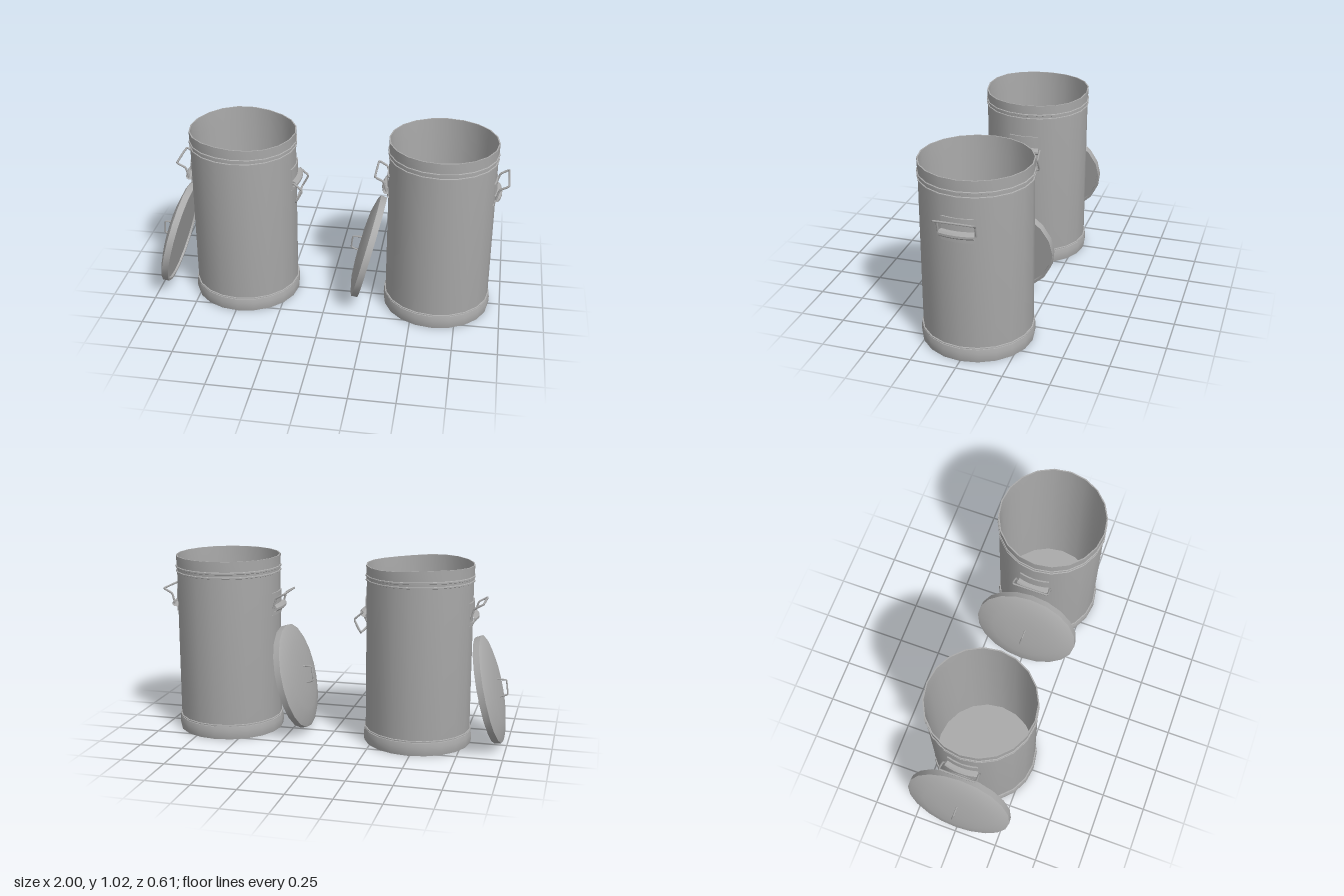
import * as THREE from 'three';
import { toCreasedNormals } from 'three/addons/utils/BufferGeometryUtils.js';

const SIDES = 20;
const metal = new THREE.MeshStandardMaterial({ color: 0xaaaaaa, side: THREE.DoubleSide });
metal.name = 'galvanised grey';

function mesh(name, geometry) {
  const m = new THREE.Mesh(geometry, metal);
  m.name = name;
  return m;
}

// Turned sheet metal, smooth around and sharp at the folds
function turned(name, profile, sides = SIDES, start = 0, sweep = Math.PI * 2, rule = null) {
  const points = profile.map(([r, y]) => new THREE.Vector2(r, y));
  const g = new THREE.LatheGeometry(points, sides, start, sweep);
  if (rule) {
    const p = g.attributes.position, v = new THREE.Vector3();
    for (let i = 0; i < p.count; i++) {
      rule(v.fromBufferAttribute(p, i));
      p.setXYZ(i, v.x, v.y, v.z);
    }
  }
  return mesh(name, toCreasedNormals(g, 0.6));
}

// Bent wire through a few points
function wire(name, points, radius) {
  const curve = new THREE.CatmullRomCurve3(
    points.map((p) => new THREE.Vector3(...p)), false, 'catmullrom', 0.1);
  return mesh(name, new THREE.TubeGeometry(curve, 40, radius, 6));
}

// Carrying handle on the +x side: curved bracket with a rolled hinge, and a kinked wire bail
function createHandle(name, bail) {
  const group = new THREE.Group();
  group.name = name;
  const half = 0.29;
  group.add(turned('handleBracket', [
    [0.295, 0.69], [0.303, 0.69], [0.303, 0.715], [0.322, 0.718], [0.331, 0.727],
    [0.331, 0.739], [0.322, 0.749], [0.303, 0.752], [0.303, 0.82], [0.295, 0.82],
  ], 6, Math.PI / 2 - half, half * 2));
  const arm = (z) => bail.map(([x, y]) => [x, y, z]);
  group.add(wire('handleBail', [...arm(0.1), ...arm(-0.1).reverse()], 0.006));
  return group;
}

// Lid: shallow dome with a turned-down rim and a wire grip
function createLid() {
  const lid = new THREE.Group();
  lid.name = 'lid';
  lid.add(turned('lidDome', [
    [0, 0.012], [0.286, 0.012], [0.288, 0], [0.302, 0], [0.305, 0.036],
    [0.285, 0.046], [0.2, 0.066], [0.1, 0.073], [0, 0.075],
  ]));
  lid.add(wire('lidGrip', [
    [-0.05, 0.068, -0.008], [-0.043, 0.115, -0.008], [0.035, 0.123, 0.004], [0.05, 0.068, 0.004],
  ], 0.005));
  return lid;
}

function createCan(name, dented, bails) {
  const can = new THREE.Group();
  can.name = name;

  // Used can has a slightly sagging rim
  const sag = dented ? (v) => {
    if (v.y > 0.9) v.y -= 0.008 * (1 + Math.sin(v.x * 9 - 0.4)) * (v.y - 0.9) / 0.12;
  } : null;

  can.add(turned('canBody', [
    [0, 0], [0.29, 0], [0.297, 0.05], [0.297, 0.92], [0.299, 0.97], [0.301, 1.023],
    [0.294, 1.023], [0.291, 0.92], [0.291, 0.02], [0, 0.02],
  ], SIDES, 0, Math.PI * 2, sag));

  can.add(turned('baseBand', [
    [0.285, 0], [0.303, 0], [0.307, 0.02], [0.307, 0.05], [0.302, 0.073], [0.296, 0.074],
  ]));

  // Pressed beads around the body
  for (const [y, h, r] of [[0.081, 0.008, 0.304], [0.931, 0.014, 0.303], [0.957, 0.018, 0.304]]) {
    can.add(turned('bead', [
      [0.295, y - h / 2], [r, y - h / 4], [r, y + h / 4], [0.295, y + h / 2],
    ], SIDES, 0, Math.PI * 2, sag));
  }

  can.add(createHandle('leftHandle', bails[0]));
  const other = createHandle('rightHandle', bails[1]);
  other.rotation.y = Math.PI;
  can.add(other);

  // Lid leaning against the side
  const lid = createLid();
  lid.rotation.z = THREE.MathUtils.degToRad(76);
  lid.position.set(-0.382, 0.317, 0);
  can.add(lid);
  return can;
}

export function createModel() {
  const model = new THREE.Group();
  model.name = 'trashCans';
  const raised = [[0.298, 0.735], [0.315, 0.795], [0.363, 0.822]];
  const hanging = [[0.3, 0.745], [0.35, 0.7], [0.313, 0.628]];

  const first = createCan('dentedCan', true, [hanging, raised]);
  first.position.x = -0.49;
  const second = createCan('straightCan', false, [raised, raised]);
  second.position.x = 0.63;
  model.add(first, second);
  return model;
}
